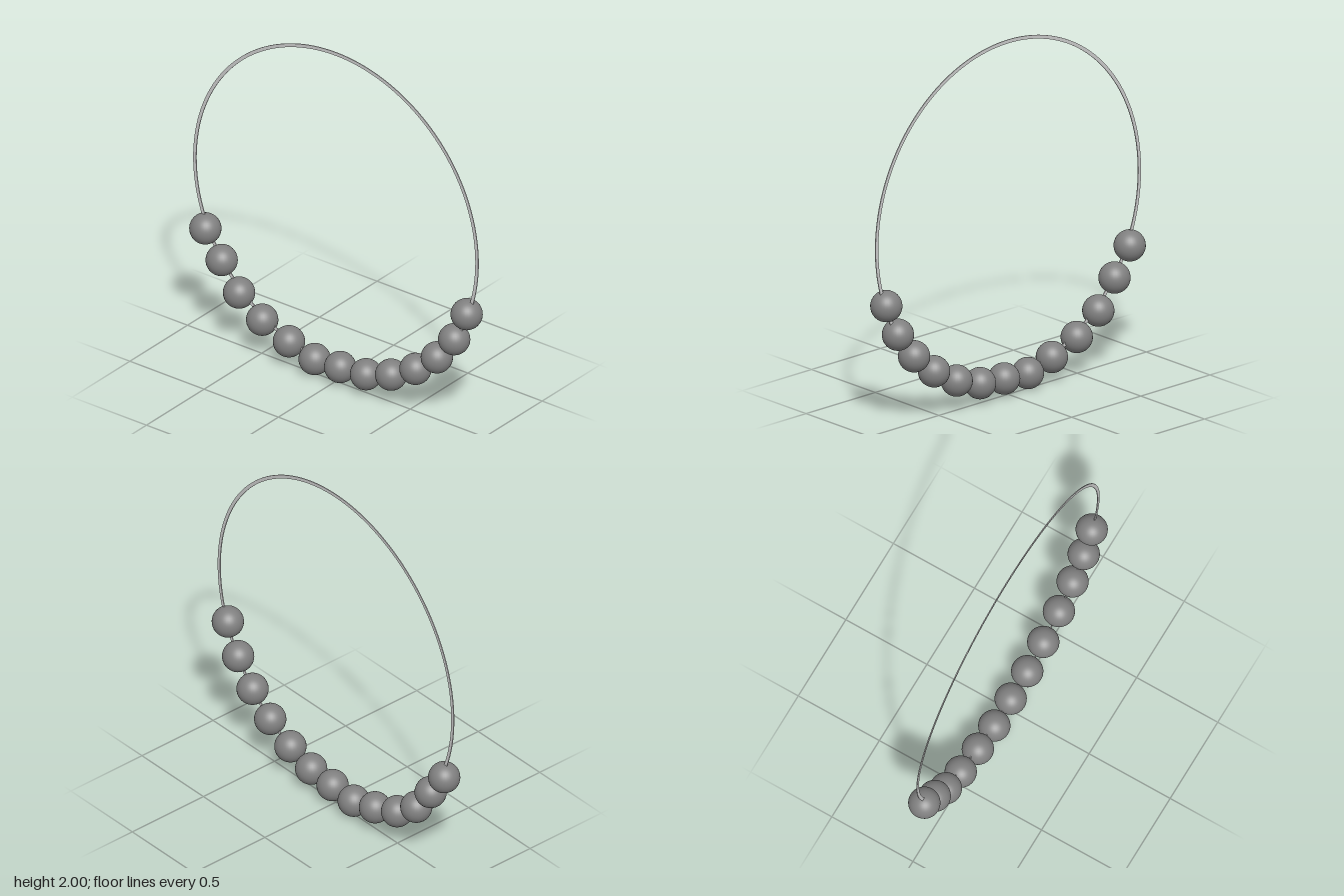
import * as THREE from 'three';

export function createModel() {
  const model = new THREE.Group();
  const wireMaterial = new THREE.MeshStandardMaterial({ color: 0xcccccc, side: THREE.DoubleSide });
  const beadMaterial = new THREE.MeshStandardMaterial({ color: 0x808080 });

  // Thin flat band forming the full loop
  const outer = 0.96, width = 0.02, depth = 0.005;
  const band = new THREE.Shape().absarc(0, 0, outer, 0, Math.PI * 2);
  band.holes.push(new THREE.Path().absarc(0, 0, outer - width, 0, Math.PI * 2, true));
  const loop = new THREE.Mesh(
    new THREE.ExtrudeGeometry(band, { depth, bevelEnabled: false, curveSegments: 96 }),
    wireMaterial
  );
  loop.name = 'loop';
  loop.position.set(0, 2 - outer, -depth / 2);
  model.add(loop);

  // Round beads hanging loosely along the lower arc
  const beadCentres = [
    [-0.88, 0.63], [-0.77, 0.475], [-0.653, 0.317], [-0.497, 0.205], [-0.317, 0.135],
    [-0.144, 0.086], [0.028, 0.096], [0.202, 0.111], [0.371, 0.166], [0.535, 0.257],
    [0.679, 0.376], [0.796, 0.526], [0.88, 0.707],
  ];
  const beadGeometry = new THREE.SphereGeometry(0.086, 32, 24);
  const beads = new THREE.Group();
  beads.name = 'beads';
  beadCentres.forEach(([x, y], i) => {
    const bead = new THREE.Mesh(beadGeometry, beadMaterial);
    bead.name = `bead${i + 1}`;
    bead.position.set(x, y, 0);
    beads.add(bead);
  });
  model.add(beads);

  return model;
}
